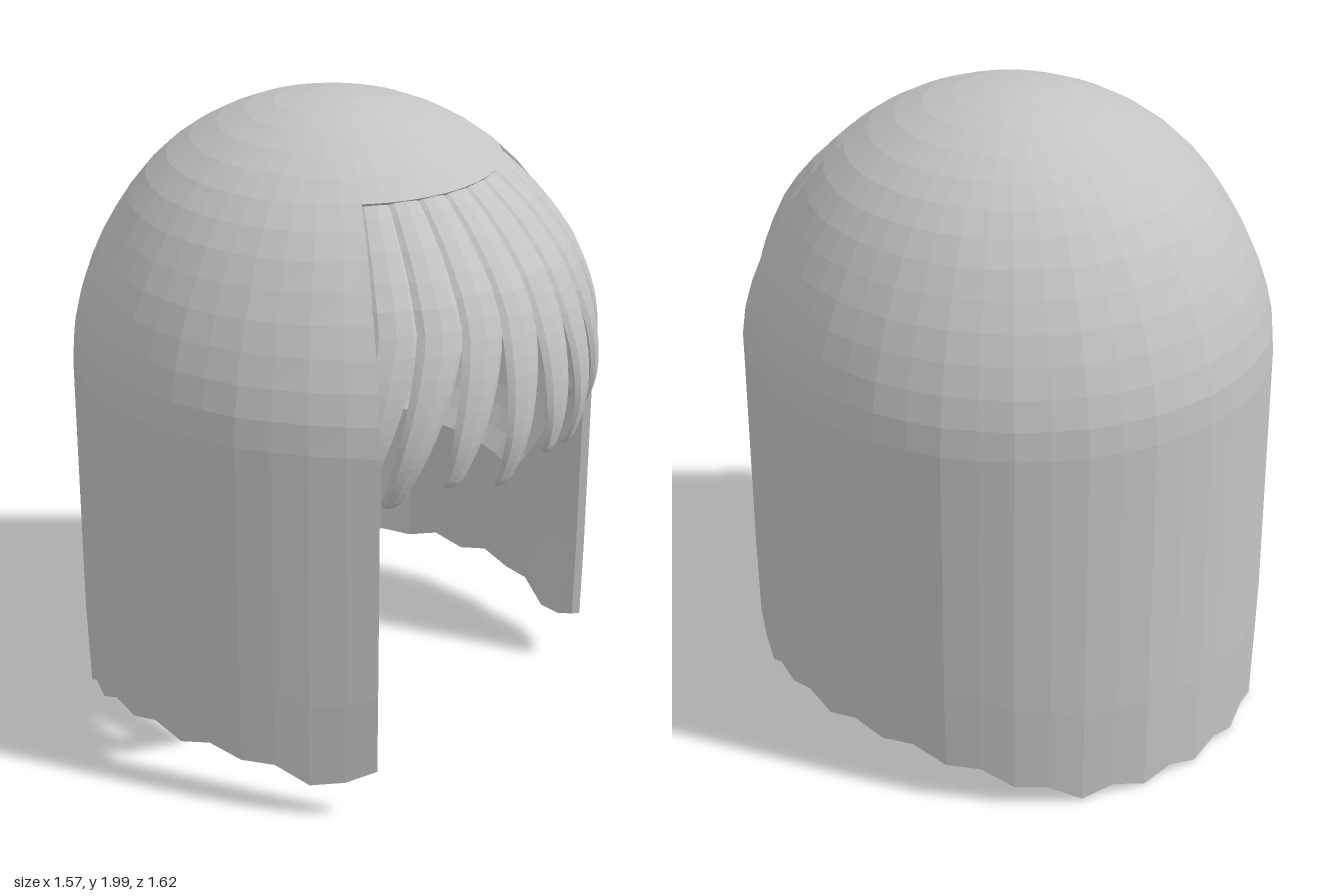
import * as THREE from 'three';

const RAD = Math.PI / 180;
const hairMat = new THREE.MeshStandardMaterial({ color: 0xc4c4c4, side: THREE.DoubleSide });

// Faceted surface from point(u index, v index); u runs sideways, v runs down
function grid(nu, nv, point) {
  const pos = [], idx = [];
  for (let v = 0; v <= nv; v++) for (let u = 0; u <= nu; u++) pos.push(...point(u, v));
  for (let v = 0; v < nv; v++) {
    for (let u = 0; u < nu; u++) {
      const a = v * (nu + 1) + u, b = a + nu + 1;
      idx.push(a, b, a + 1, a + 1, b, b + 1);
    }
  }
  const g = new THREE.BufferGeometry();
  g.setAttribute('position', new THREE.Float32BufferAttribute(pos, 3));
  g.setIndex(idx);
  const flat = g.toNonIndexed();
  flat.computeVertexNormals();
  return flat;
}

function lerpTable(table, x) {
  for (let i = 1; i < table.length; i++) {
    const [x0, y0] = table[i - 1], [x1, y1] = table[i];
    if (x <= x1) return y0 + (y1 - y0) * Math.max(0, x - x0) / (x1 - x0);
  }
  return table[table.length - 1][1];
}

// Height of the lower hem, and flare of the curtains, by angle from the front
const HEM = [[46, 0.2], [52.5, 0.125], [60, 0.135], [75, 0.19], [105, 0.19],
  [120, 0.15], [135, 0.09], [147, 0.03], [180, 0.025]];
const FLARE = [[46, 0.035], [60, 0.005], [75, 0]];
// Slight waist in the dome above the shoulders
const WAIST = [[1.25, 0], [1.5, 0.02], [1.65, 0.025], [1.85, 0]];
const fromFront = deg => Math.min(Math.abs(deg), 360 - deg);
const isLockTip = deg => Math.round(deg / 7.5) % 2 === 0;
const hemY = deg => lerpTable(HEM, fromFront(deg)) + (isLockTip(deg) ? -0.015 : 0.015);

// Point on the hair: dome above y = 1.2, straight wall below
function hairPoint(deg, y, inset) {
  const k = y > 1.2 ? Math.sqrt(Math.max(0, 1 - ((y - 1.2) / (0.8 - inset)) ** 2)) : 1;
  const ripple = isLockTip(deg) ? 0 : 0.004 * k ** 4;
  const flare = lerpTable(FLARE, fromFront(deg)) * lerpTable([[1.2, 1], [1.7, 0]], y);
  const r = k * (1 - ripple + flare - lerpTable(WAIST, y));
  const tuck = lerpTable([[0.1, 0.008], [0.25, 0]], y);
  return [(0.785 - inset - tuck) * r * Math.sin(deg * RAD), y, (0.81 - inset - tuck) * r * Math.cos(deg * RAD)];
}

// Height down a column: rows 0..DOME cover the dome, then the wall to the hem
const DOME = 14, WALL = 4, ROWS = DOME + WALL, THICK = 0.025;
function columnY(row, hem, inset) {
  if (row <= DOME) return 1.2 + (0.8 - inset) * Math.cos(row / DOME * Math.PI / 2);
  return 1.2 + (hem - 1.2) * (row - DOME) / WALL;
}
function shellPoint(deg, v, rows) {
  const inner = v > rows, inset = inner ? THICK : 0;
  const row = inner ? 2 * rows + 1 - v : v;
  return hairPoint(deg, columnY(row, hemY(deg), inset), inset);
}
const curtainDeg = u => Math.min(314, Math.max(46, 45 + u * 7.5));

// Strand of fringe: lens-shaped section that splays sideways down to a rounded tip
function fringeStrand(topDeg, tipDeg, tipY, scale) {
  const rows = 22, sides = 8, topY = 1.87;
  const spread = [[tipY, 0], [tipY + 0.003, 1.1], [tipY + 0.012, 1.9], [tipY + 0.03, 2.4],
    [1.22, 3.9], [1.47, 5.4], [2, 5.6]];
  return grid(sides, rows, (u, v) => {
    const y = tipY + (topY - tipY) * (1 - v / rows) ** 2;
    const r = y > 1.22
      ? 0.795 * Math.sqrt(1 - ((y - 1.22) / 0.785) ** 2)
      : 0.795 - 0.055 * ((1.22 - y) / 0.22) ** 2;
    const sink = lerpTable([[1.6, 0], [topY, 0.03]], y);
    const deg = lerpTable([[tipY, tipDeg], [1.5, topDeg], [2, topDeg]], y);
    const taper = lerpTable(spread, y);
    const s = u / sides * Math.PI * 2;
    const a = (deg + taper * Math.cos(s)) * RAD;
    const depth = Math.min(0.018, taper * 0.008) * Math.sin(s);
    const rr = r * scale - sink + depth;
    return [rr * Math.sin(a) * 0.98, y, rr * Math.cos(a)];
  });
}

export function createModel() {
  const group = new THREE.Group();
  const add = (name, geo, parent = group) => {
    const m = new THREE.Mesh(geo, hairMat);
    m.name = name;
    parent.add(m);
  };

  // Long hair round the sides and back, open at the front
  add('longHair', grid(36, 2 * ROWS + 1, (u, v) => shellPoint(curtainDeg(u), v, ROWS)));
  // Thin front edges of the two side curtains
  for (const [name, deg] of [['leftEdge', 46], ['rightEdge', 314]]) {
    add(name, grid(1, ROWS, (u, v) => shellPoint(deg, u ? 2 * ROWS + 1 - v : v, ROWS)));
  }
  // Crown closing the front of the dome above the fringe
  const crownRows = 6;
  add('frontCrown', grid(12, 2 * crownRows + 1, (u, v) => shellPoint((u - 6) * 46 / 6, v, crownRows)));

  // Inner cap curling inwards below the dome
  const RIM = [[46, 0.72], [90, 0.73], [108, 0.765], [120, 0.795], [128, 0.8], [150, 0.775], [180, 0.755]];
  add('innerCap', grid(36, 9, (u, v) => {
    const deg = curtainDeg(u);
    const y = 1.22 + (lerpTable(RIM, fromFront(deg)) - 1.22) * v / 9;
    const r = 1 - 0.24 * (v / 9) ** 2.5;
    return [0.745 * r * Math.sin(deg * RAD), y, 0.765 * r * Math.cos(deg * RAD)];
  }));

  // Fringe, mirrored about the middle strand
  const fringe = new THREE.Group();
  fringe.name = 'fringe';
  group.add(fringe);
  add('middleStrand', fringeStrand(0, 0, 1.05, 1), fringe);
  const strands = [[10, 14.4, 1.0, 1], [20.5, 29, 1.05, 1], [31, 42.5, 1.0, 1], [41, 51, 1.0, 0.98]];
  for (const [topDeg, tipDeg, tipY, scale] of strands) {
    for (const side of [-1, 1]) {
      add(side > 0 ? 'leftStrand' : 'rightStrand', fringeStrand(side * topDeg, side * tipDeg, tipY, scale), fringe);
    }
  }
  return group;
}
